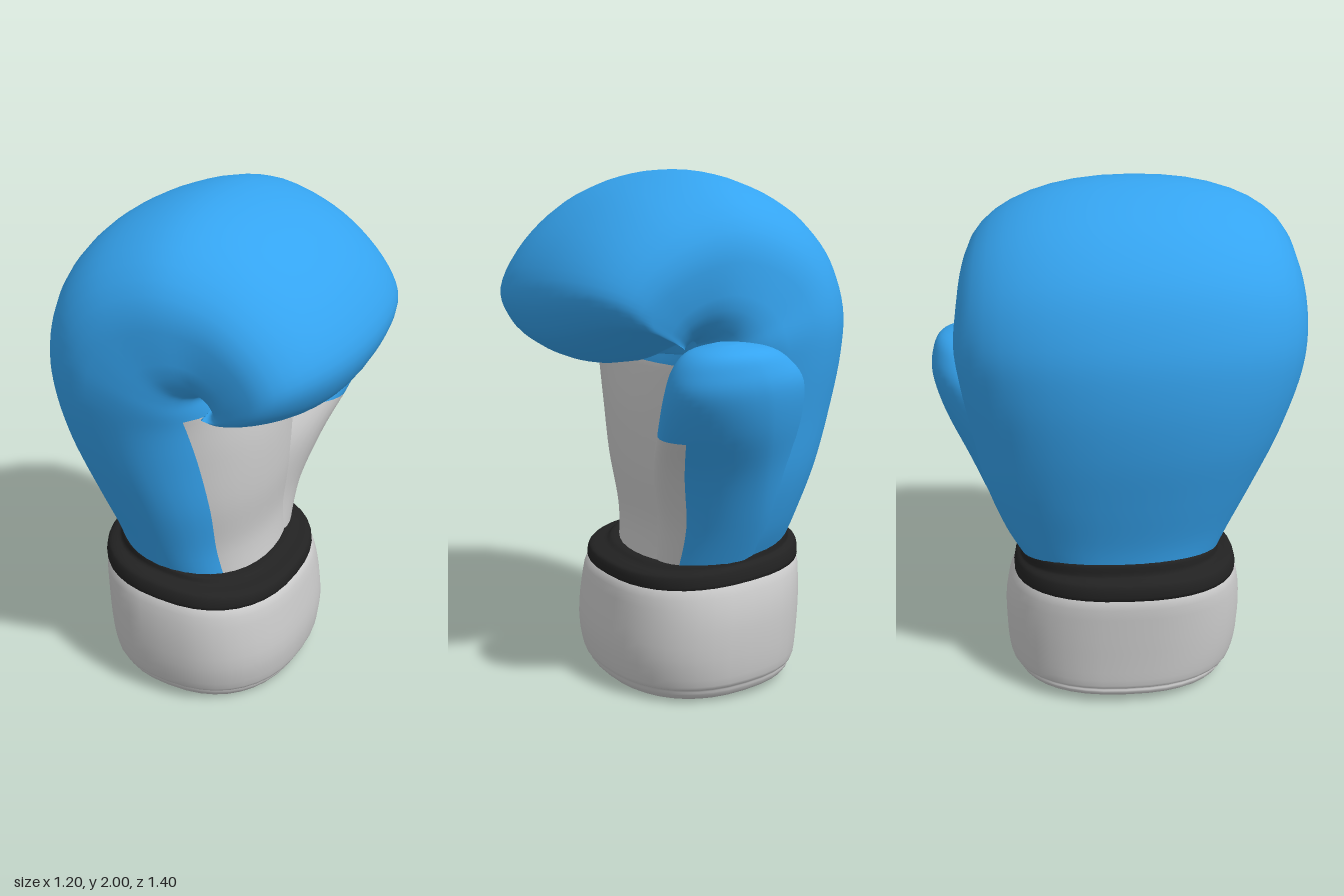
import * as THREE from 'three';

const COLS = 40;
const BLUE = 0x35a4f0, GREY = 0xcccccc, BLACK = 0x222222;

// Smooth interpolation through rows of section parameters
function sampleRows(rows, steps) {
  const out = [], last = rows.length - 1;
  for (let k = 0; k <= last * steps; k++) {
    const i = Math.min(Math.floor(k / steps), last - 1), t = k / steps - i;
    const a = rows[Math.max(i - 1, 0)], b = rows[i], c = rows[i + 1], d = rows[Math.min(i + 2, last)];
    out.push(b.map((v, j) => {
      const cubic = 3 * (v - c[j]) + d[j] - a[j];
      const square = 2 * a[j] - 5 * v + 4 * c[j] - d[j];
      return v + 0.5 * t * (c[j] - a[j] + t * (square + t * cubic));
    }));
  }
  return out;
}

// Closed loft of superellipse sections. Each row holds:
// back x, back y, palm x, palm y, min z, max z, back exponent, palm exponent, tilt of the back edge
function loft(rows, steps, parts, isSecond = () => false) {
  const rings = sampleRows(rows, steps), pos = [], idx = [[], []];
  const power = (v, e) => Math.sign(v) * Math.pow(Math.abs(v), e);
  for (const [ox, oy, ix, iy, z0, z1, nBack, nPalm, tilt] of rings) {
    for (let j = 0; j < COLS; j++) {
      const a = (j / COLS) * Math.PI * 2, e = 2 / (j < COLS / 2 ? nPalm : nBack);
      const u = power(Math.sin(a), e), w = power(Math.cos(a), e);
      const z = (z0 + z1) / 2 + (z1 - z0) / 2 * w;
      const lift = tilt * (w * w - z) * (1 - u) / 2;
      pos.push((ox + ix) / 2 + (ix - ox) / 2 * u, (oy + iy) / 2 + (iy - oy) / 2 * u + lift, z);
    }
  }
  for (let i = 0; i < rings.length - 1; i++) {
    for (let j = 0; j < COLS; j++) {
      const k = (j + 1) % COLS, a = i * COLS + j, b = i * COLS + k;
      idx[isSecond(i / steps, j) ? 1 : 0].push(a, b, b + COLS, a, b + COLS, a + COLS);
    }
  }
  // End caps
  for (const i of [0, rings.length - 1]) {
    const r = rings[i], centre = pos.length / 3, base = i * COLS;
    pos.push((r[0] + r[2]) / 2, (r[1] + r[3]) / 2, (r[4] + r[5]) / 2);
    for (let j = 0; j < COLS; j++) {
      const a = base + j, b = base + (j + 1) % COLS;
      idx[0].push(centre, ...(i ? [a, b] : [b, a]));
    }
  }
  const full = new THREE.BufferGeometry();
  full.setAttribute('position', new THREE.Float32BufferAttribute(pos, 3));
  full.setIndex([...idx[0], ...idx[1]]);
  full.computeVertexNormals();
  const group = new THREE.Group();
  parts.forEach(([name, color], p) => {
    const g = full.clone();
    g.setIndex(idx[p]);
    const mesh = new THREE.Mesh(g, new THREE.MeshStandardMaterial({ color }));
    mesh.name = name;
    group.add(mesh);
  });
  return group;
}

export function createModel() {
  const model = new THREE.Group();
  model.name = 'boxingGlove';

  // Hand: rises from the wrist, then fans round the palm crease into the finger roll
  const hand = loft([
    [-0.42, 0.58, 0.185, 0.48, -0.36, 0.40, 2.3, 2.1, 0],
    [-0.445, 0.70, 0.17, 0.64, -0.43, 0.455, 2.2, 2.1, 0],
    [-0.505, 0.90, 0.19, 0.85, -0.50, 0.54, 2.2, 2.1, 0],
    [-0.565, 1.12, 0.19, 1.07, -0.54, 0.625, 2.15, 2.1, 0],
    [-0.597, 1.34, 0.165, 1.24, -0.575, 0.68, 2.1, 2.5, 0],
    [-0.585, 1.54, 0.14, 1.32, -0.59, 0.70, 2.1, 3.2, 0],
    [-0.50, 1.75, 0.13, 1.345, -0.58, 0.70, 2.1, 3.5, 0],
    [-0.31, 1.915, 0.13, 1.355, -0.565, 0.69, 2.15, 3.5, 0],
    [-0.02, 2.0, 0.13, 1.355, -0.54, 0.675, 2.2, 3.5, 0],
    [0.26, 1.93, 0.13, 1.355, -0.50, 0.65, 2.2, 3.5, 0],
    [0.48, 1.765, 0.13, 1.35, -0.47, 0.635, 2.15, 3.5, 0.02],
    [0.595, 1.57, 0.13, 1.345, -0.45, 0.625, 2.15, 3.5, 0.05],
    [0.55, 1.42, 0.13, 1.34, -0.44, 0.615, 2.15, 3.2, 0.08],
    [0.44, 1.33, 0.13, 1.335, -0.43, 0.60, 2.15, 3, 0.11],
    [0.30, 1.28, 0.13, 1.33, -0.41, 0.58, 2.15, 2.8, 0.12],
    [0.17, 1.275, 0.13, 1.325, -0.39, 0.56, 2.15, 2.6, 0.12],
  ], 5, [['handShell', BLUE], ['palmPanel', GREY]], (s, j) => s < 4.4 && j >= 5 && j < 16);
  hand.name = 'hand';

  // Thumb, merging into the back of the hand and the palm towards the wrist
  const thumb = loft([
    [-0.32, 0.55, 0.165, 0.48, -0.36, 0.08, 1.9, 1.9, 0],
    [-0.32, 0.73, 0.175, 0.68, -0.46, 0.05, 1.8, 1.9, 0],
    [-0.31, 0.94, 0.24, 0.90, -0.56, -0.02, 1.7, 1.8, 0],
    [-0.27, 1.11, 0.305, 1.08, -0.65, -0.20, 1.65, 1.9, 0],
    [-0.22, 1.25, 0.33, 1.22, -0.695, -0.32, 1.7, 2.1, 0],
    [-0.14, 1.335, 0.31, 1.31, -0.69, -0.36, 1.8, 2.1, 0],
    [-0.04, 1.385, 0.26, 1.37, -0.66, -0.41, 2, 2.1, 0],
    [0.09, 1.405, 0.17, 1.40, -0.58, -0.50, 2.1, 2.1, 0],
  ], 5, [['thumbShell', BLUE], ['thumbPalmPanel', GREY]], (s, j) => s < 2.7 && j < 13);
  thumb.name = 'thumb';

  // Wrist cuff with a seam near its lower rim
  const cuff = loft([
    [-0.38, 0.04, 0.24, 0.005, -0.34, 0.40, 2.35, 2.35, 0],
    [-0.43, 0.035, 0.28, -0.002, -0.385, 0.445, 2.35, 2.35, 0],
    [-0.45, 0.06, 0.305, 0.022, -0.405, 0.465, 2.35, 2.35, 0],
    [-0.447, 0.075, 0.312, 0.045, -0.41, 0.47, 2.35, 2.35, 0],
    [-0.46, 0.095, 0.327, 0.065, -0.428, 0.49, 2.35, 2.35, 0],
    [-0.467, 0.20, 0.34, 0.18, -0.44, 0.51, 2.4, 2.4, 0],
    [-0.477, 0.36, 0.325, 0.32, -0.437, 0.51, 2.4, 2.4, 0],
    [-0.478, 0.49, 0.30, 0.43, -0.405, 0.488, 2.4, 2.4, 0],
    [-0.42, 0.52, 0.24, 0.45, -0.36, 0.44, 2.4, 2.4, 0],
  ], 3, [['cuff', GREY]]);

  // Dark binding: a wide lower band stepping in to a narrow upper one
  const trim = loft([
    [-0.44, 0.485, 0.26, 0.42, -0.37, 0.45, 2.4, 2.4, 0],
    [-0.482, 0.495, 0.297, 0.43, -0.402, 0.487, 2.4, 2.4, 0],
    [-0.48, 0.55, 0.295, 0.475, -0.395, 0.48, 2.4, 2.4, 0],
    [-0.455, 0.568, 0.27, 0.488, -0.38, 0.455, 2.4, 2.4, 0],
    [-0.435, 0.58, 0.23, 0.495, -0.375, 0.42, 2.4, 2.4, 0],
    [-0.43, 0.625, 0.205, 0.508, -0.37, 0.412, 2.4, 2.4, 0],
    [-0.40, 0.63, 0.17, 0.51, -0.34, 0.38, 2.4, 2.4, 0],
  ], 3, [['cuffTrim', BLACK]]);

  model.add(hand, thumb, cuff, trim);
  return model;
}
